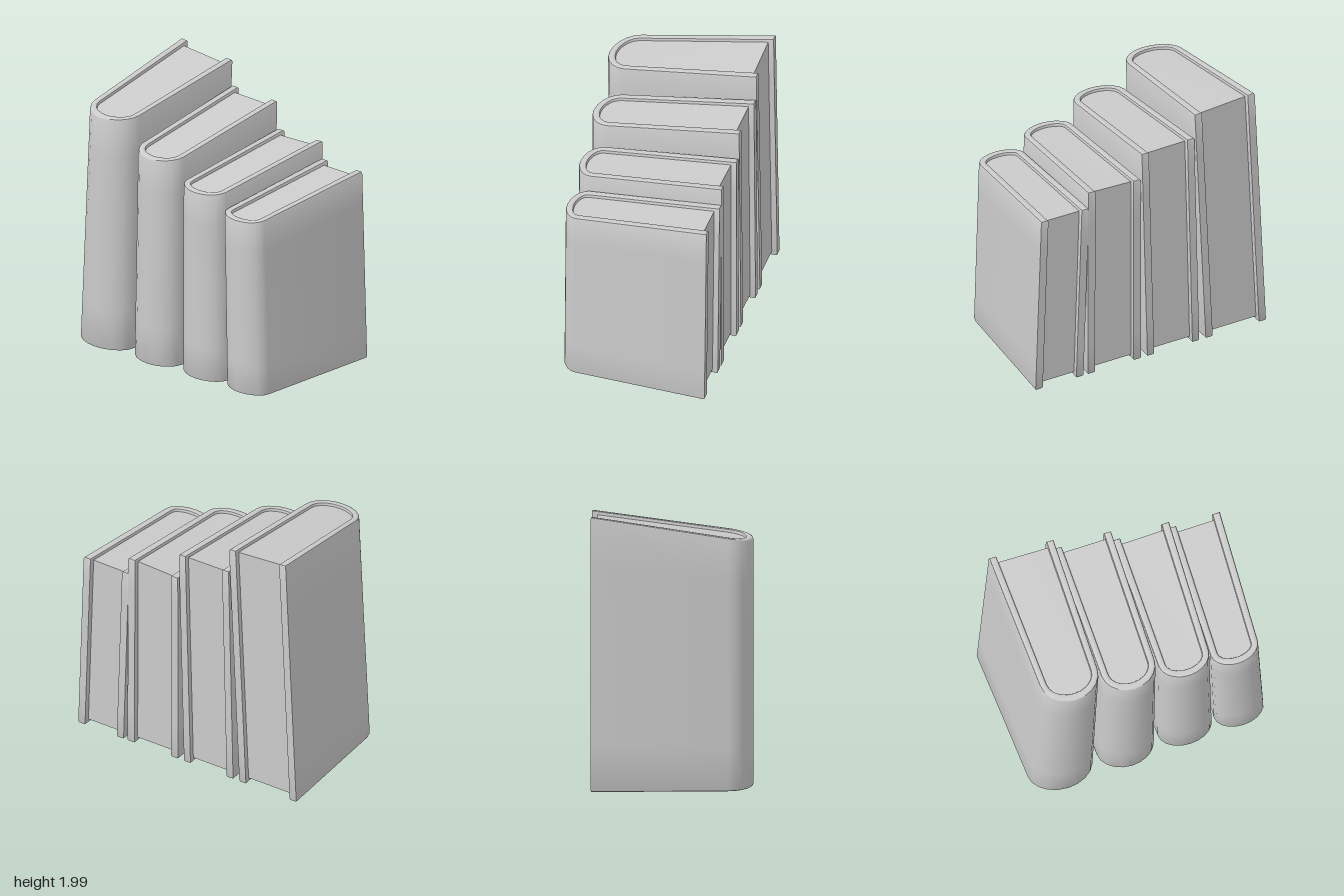
import * as THREE from 'three';
import { toCreasedNormals } from 'three/addons/utils/BufferGeometryUtils.js';

const BACK = -0.58, ARC = 0.41, BEVEL = 0.014, THICK = 0.055;

// Each book: spine depth, spine-top height, left/right back-top heights, and the
// outer x of its sides [backLow, frontLow, backHigh, frontHigh]
const BOOKS = [
  { front: 0.585, h: 1.81, hBack: [2.0, 1.965], xMin: [-0.948, -0.885, -0.855, -0.79], xMax: [-0.455, -0.405, -0.365, -0.365] },
  { front: 0.57, h: 1.61, hBack: [1.77, 1.765], xMin: [-0.40, -0.365, -0.36, -0.33], xMax: [0.025, 0.058, 0.07, 0.068] },
  { front: 0.545, h: 1.455, hBack: [1.555, 1.575], xMin: [0.078, 0.093, 0.08, 0.10], xMax: [0.515, 0.495, 0.51, 0.475] },
  { front: 0.53, h: 1.34, hBack: [1.44, 1.445], xMin: [0.55, 0.515, 0.505, 0.49], xMax: [0.943, 0.885, 0.895, 0.845] },
];

const material = new THREE.MeshStandardMaterial({ color: 0xcccccc });

// Points of a U: straight sides from the back, joined by a rounded spine
function uPoints(halfWidth, front, back) {
  const pts = [new THREE.Vector2(-halfWidth, -back)];
  for (let i = 0; i <= 10; i++) {
    const a = Math.PI * (1 - i / 10);
    pts.push(new THREE.Vector2(Math.cos(a) * halfWidth, -ARC - Math.sin(a) * (front - ARC)));
  }
  pts.push(new THREE.Vector2(halfWidth, -back));
  return pts;
}

// Extrude an outline upward, then lean, taper and slope it to fit the book
function bookPart(name, points, book, width, y0, y1, bevel) {
  const geo = new THREE.ExtrudeGeometry(new THREE.Shape(points), {
    depth: y1 - y0 - 2 * bevel, bevelEnabled: bevel > 0, bevelSize: bevel,
    bevelThickness: bevel, bevelOffset: -bevel, bevelSegments: 2, steps: 6,
  });
  geo.rotateX(-Math.PI / 2).translate(0, y0 + bevel, 0);
  const { lerp } = THREE.MathUtils;
  const p = geo.attributes.position;
  for (let i = 0; i < p.count; i++) {
    const u = p.getX(i) / width + 0.5;
    const v = (p.getZ(i) - BACK) / (book.front - BACK);
    const t = p.getY(i) / book.h;
    const side = (s) => lerp(lerp(s[0], s[1], v), lerp(s[2], s[3], v), t);
    const top = lerp(lerp(book.hBack[0], book.hBack[1], u), book.h, v);
    p.setXYZ(i, lerp(side(book.xMin), side(book.xMax), u), 0.006 + t * (top - 0.006), p.getZ(i));
  }
  const mesh = new THREE.Mesh(toCreasedNormals(geo, 0.7), material);
  mesh.name = name;
  return mesh;
}

export function createModel() {
  const model = new THREE.Group();
  model.name = 'bookRow';
  BOOKS.forEach((book, i) => {
    const group = new THREE.Group();
    group.name = `book${i + 1}`;
    const width = book.xMax[1] - book.xMin[1];
    const half = width / 2;

    // Bound cover: outer U followed by the inner U in reverse
    const outer = uPoints(half, book.front, BACK);
    const inner = uPoints(half - THICK, book.front - THICK, BACK).reverse();
    group.add(bookPart('cover', [...outer, ...inner], book, width, 0, book.h, BEVEL));

    // Page block, set in from the top, bottom and open edge
    const pages = uPoints(half - THICK + 0.012, book.front - THICK + 0.012, BACK + 0.04);
    group.add(bookPart('pages', pages, book, width, 0.03, book.h - 0.024, 0));
    model.add(group);
  });
  return model;
}
